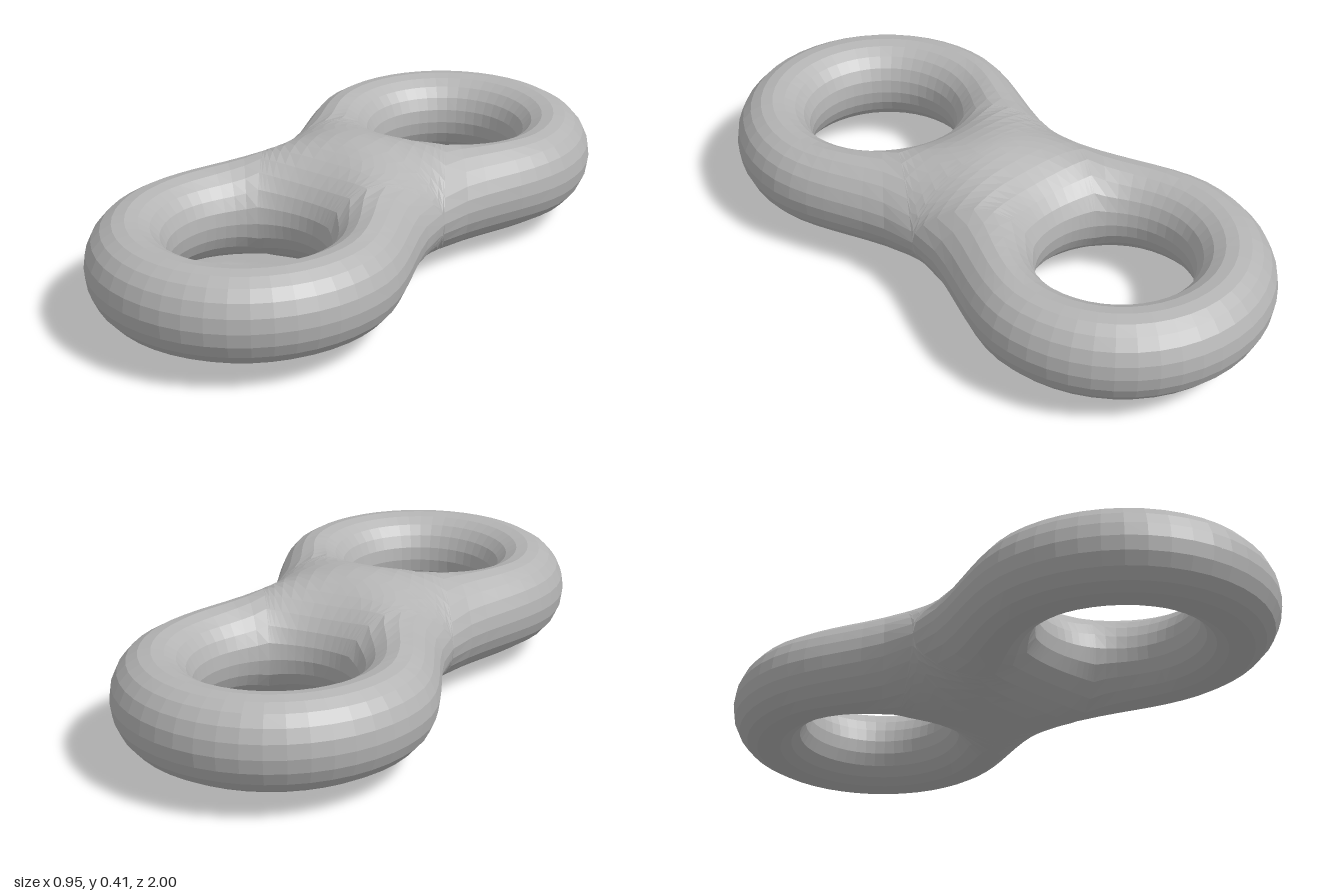
import * as THREE from 'three';

const MID_Y = 0.205, PEAK = 0.205, RING_H = 0.138; // mid height and half thicknesses
const CZ = 0.52, HOLE = 0.234;                     // hole centre and radius
const WAIST = 0.335, WIDE = 0.475, REACH = 0.48;   // outline half widths and end radius

const smooth = (u) => THREE.MathUtils.smoothstep(u, 0, 1);
const lerp = THREE.MathUtils.lerp;
const round = (u) => Math.sqrt(Math.max(0, 1 - (1 - Math.min(Math.max(u, 0), 1)) ** 2));

// Distance inside the figure-eight outline (zero on the outline)
function outerGap(x, z) {
  if (z < CZ) return WAIST + (WIDE - WAIST) * smooth(z / CZ) - Math.abs(x);
  const r = Math.hypot(x, z - CZ);
  if (r < 1e-6) return WIDE;
  return 1 / Math.hypot(x / r / WIDE, (z - CZ) / r / REACH) - r;
}

// Half thickness: rounded towards the hole and the outline, swelling at the waist
function halfThickness(x, z) {
  const k = 1 - smooth(z / 0.5);
  const eIn = round((Math.hypot(x, z - CZ) - HOLE) / lerp(0.122, CZ - HOLE, k));
  const eOut = round(outerGap(x, z) / lerp(0.122, WAIST, k));
  return lerp(RING_H, PEAK, k) * eIn * eOut;
}

// Distance from the hole centre to the outline, or to the middle plane z = 0
function rayLength(a) {
  const limit = Math.cos(a) > 0 ? CZ / Math.cos(a) : 10;
  let lo = HOLE, hi = Math.min(limit, 0.8);
  const inside = (r) => outerGap(r * Math.sin(a), CZ - r * Math.cos(a)) > 0;
  if (inside(hi - 1e-6)) return hi;
  for (let i = 0; i < 40; i++) {
    const m = (lo + hi) / 2;
    if (inside(m)) lo = m; else hi = m;
  }
  return lo;
}

// One loop with its half of the waist: top and bottom sheets swept around the hole
function loopGeometry() {
  const a0 = Math.atan(WAIST / CZ), angles = [];
  for (let i = 0; i < 16; i++) angles.push(Math.atan(-WAIST * Math.cos(Math.PI * i / 16) / CZ));
  for (let i = 0; i < 38; i++) angles.push(a0 + (2 * Math.PI - 2 * a0) * i / 38);
  const N = 10, A = angles.length, pos = [], index = [];
  for (const side of [1, -1]) {
    for (const a of angles) {
      const end = rayLength(a);
      for (let i = 0; i <= N; i++) {
        const r = lerp(HOLE, end, (1 - Math.cos(Math.PI * i / N)) / 2);
        const x = r * Math.sin(a), z = Math.max(0, CZ - r * Math.cos(a));
        pos.push(x, MID_Y + side * halfThickness(x, z), z);
      }
    }
    const base = side > 0 ? 0 : A * (N + 1);
    for (let j = 0; j < A; j++) for (let i = 0; i < N; i++) {
      const p = base + j * (N + 1) + i, q = base + ((j + 1) % A) * (N + 1) + i;
      if (side > 0) index.push(p, q, p + 1, q, q + 1, p + 1);
      else index.push(p, p + 1, q, q, p + 1, q + 1);
    }
  }
  const g = new THREE.BufferGeometry();
  g.setAttribute('position', new THREE.Float32BufferAttribute(pos, 3));
  g.setIndex(index);
  g.computeVertexNormals();
  return g;
}

export function createModel() {
  const group = new THREE.Group();
  group.name = 'doubleRing';
  const grey = new THREE.MeshStandardMaterial({ color: 0xb4b4b4, flatShading: true });
  grey.name = 'grey';
  const geometry = loopGeometry();
  // Front loop, and the back loop turned half round
  ['frontLoop', 'backLoop'].forEach((name, i) => {
    const mesh = new THREE.Mesh(geometry, grey);
    mesh.name = name;
    mesh.rotation.y = i * Math.PI;
    group.add(mesh);
  });
  return group;
}
